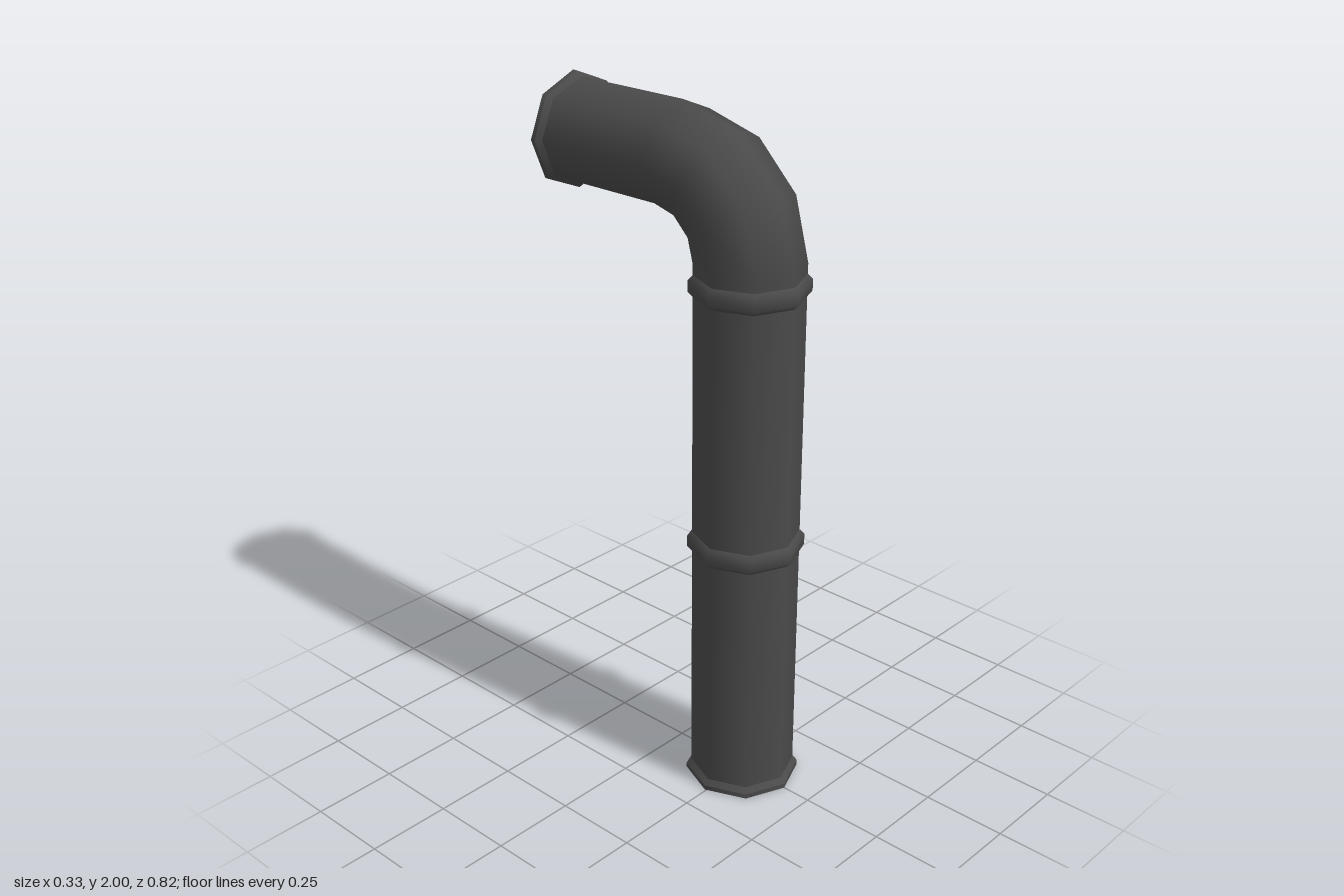
import * as THREE from 'three';

const SIDES = 8;
const R = 0.152;        // pipe radius
const COLLAR = 0.166;   // collar radius
const BEND = 0.245;     // elbow centreline radius
const BEND_Y = 1.59;    // height where the elbow starts
const BACK = 0.41;      // distance of the rear opening

export function createModel() {
  const group = new THREE.Group();
  const metal = new THREE.MeshStandardMaterial({ color: 0x4a4a4a, side: THREE.DoubleSide });
  metal.name = 'dark grey metal';

  function add(name, geometry, parent) {
    const mesh = new THREE.Mesh(geometry, metal);
    mesh.name = name;
    parent.add(mesh);
    return mesh;
  }

  // Eight-sided surface from a [radius, height] profile
  const lathe = (profile) =>
    new THREE.LatheGeometry(profile.map(([r, y]) => new THREE.Vector2(r, y)), SIDES);

  // Flanged opening: flat rim plus a flared band narrowing to the pipe
  function addFlange(name, parent) {
    add(name + 'Rim', lathe([[R, 0], [COLLAR, 0]]), parent);
    add(name + 'Band', lathe([[COLLAR, 0], [COLLAR, 0.014]]), parent);
    add(name + 'Taper', lathe([[COLLAR, 0.014], [R, 0.03]]), parent);
  }

  // Upright pipe
  const upright = new THREE.Group();
  upright.name = 'uprightPipe';
  upright.position.z = BEND;
  group.add(upright);
  add('lowerPipe', lathe([[R, 0], [R, 0.77]]), upright);
  add('upperPipe', lathe([[R, 0.77], [R, BEND_Y]]), upright);
  addFlange('baseFlange', upright);

  // Bevelled joint collars
  for (const [name, y] of [['lowerCollar', 0.77], ['upperCollar', 1.53]]) {
    const collar = lathe([[R, -0.03], [COLLAR, -0.016], [COLLAR, 0.016], [R, 0.03]]);
    add(name, collar, upright).position.y = y;
  }

  // Three-step elbow turning toward the back
  const elbow = add('elbow', new THREE.TorusGeometry(BEND, R, SIDES, 3, Math.PI / 2), group);
  elbow.rotation.y = -Math.PI / 2;
  elbow.position.y = BEND_Y;

  // Horizontal outlet, built from its rear opening forward
  const outlet = new THREE.Group();
  outlet.name = 'outletPipe';
  outlet.rotation.x = Math.PI / 2;
  outlet.position.set(0, BEND_Y + BEND, -BACK);
  group.add(outlet);
  add('outletTube', lathe([[R, 0], [R, BACK]]), outlet);
  addFlange('outletFlange', outlet);

  return group;
}
